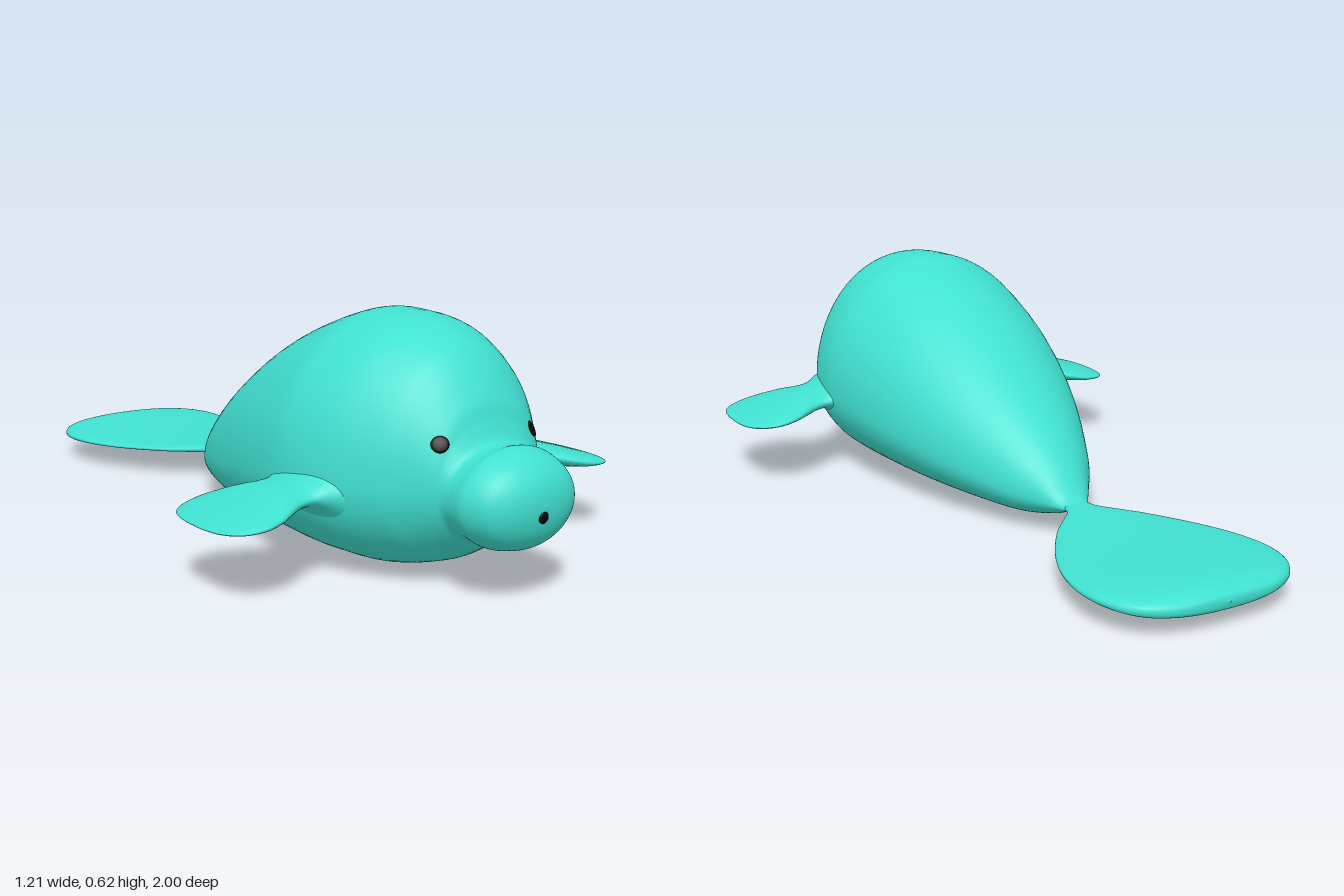
import * as THREE from 'three';

const skin = new THREE.MeshStandardMaterial({ color: 0x40e0d0 });
skin.name = 'turquoise skin';
const black = new THREE.MeshStandardMaterial({ color: 0x050505 });
black.name = 'black';

// Smooth loft through rows of [station, halfWidth, top, bottom].
// place(station, across, height) turns a section point into x, y, z.
function loft(rows, place, { steps = 90, sides = 56, power = 1, waist = () => 0.5 } = {}) {
  const curve = (k) => new THREE.CatmullRomCurve3(
    rows.map((r) => new THREE.Vector3(r[0], k === 0 ? r[1] : r[3], r[2])), false, 'catmullrom', 0.5);
  const upper = curve(0), lower = curve(1);
  const positions = [], index = [];
  for (let i = 0; i <= steps; i++) {
    const p = upper.getPoint(i / steps), q = lower.getPoint(i / steps);
    const top = p.z, bottom = q.y, half = Math.max(p.y, 0.0005);
    const mid = bottom + (top - bottom) * waist(p.x);
    for (let j = 0; j < sides; j++) {
      const a = (j / sides) * Math.PI * 2, s = Math.sin(a);
      const v = Math.sign(s) * Math.abs(s) ** power;
      const y = mid + v * (v > 0 ? top - mid : mid - bottom);
      positions.push(...place(p.x, half * Math.cos(a), y));
    }
  }
  for (let i = 0; i < steps; i++) {
    for (let j = 0; j < sides; j++) {
      const k = (j + 1) % sides;
      const a = i * sides + j, b = i * sides + k, c = a + sides, d = b + sides;
      index.push(a, c, b, b, c, d);
    }
  }
  const g = new THREE.BufferGeometry();
  g.setAttribute('position', new THREE.Float32BufferAttribute(positions, 3));
  g.setIndex(index);
  g.computeVertexNormals();
  return g;
}

function add(parent, name, geometry, material) {
  const mesh = new THREE.Mesh(geometry, material);
  mesh.name = name;
  parent.add(mesh);
  return mesh;
}

// Small flattened spot lying on the skin, facing along a direction
function addSpot(parent, name, position, direction, rx, ry) {
  const spot = add(parent, name, new THREE.SphereGeometry(1, 16, 10), black);
  spot.position.set(...position);
  spot.lookAt(new THREE.Vector3(...position).add(new THREE.Vector3(...direction)));
  spot.scale.set(rx, ry, 0.005);
}

export function createModel() {
  const model = new THREE.Group();
  model.name = 'seaCow';
  const alongZ = (s, across, y) => [across, y, s];

  // Body with snout, from the nose back to the tail root
  const body = [
    [1.0, 0, 0.24, 0.24], [0.995, 0.05, 0.275, 0.203], [0.98, 0.097, 0.308, 0.165],
    [0.95, 0.136, 0.338, 0.133], [0.9, 0.157, 0.356, 0.117], [0.865, 0.154, 0.351, 0.12],
    [0.84, 0.15, 0.36, 0.12], [0.82, 0.153, 0.4, 0.113], [0.8, 0.17, 0.45, 0.098],
    [0.75, 0.212, 0.522, 0.066], [0.7, 0.252, 0.565, 0.04], [0.6, 0.308, 0.607, 0.01],
    [0.5, 0.335, 0.617, 0.003], [0.4, 0.337, 0.608, 0.001], [0.2, 0.303, 0.53, 0.005],
    [0, 0.243, 0.41, 0.014], [-0.2, 0.15, 0.267, 0.026], [-0.3, 0.085, 0.178, 0.048],
    [-0.35, 0.05, 0.118, 0.068], [-0.38, 0.032, 0.1, 0.076], [-0.4, 0, 0.09, 0.085],
  ];
  const waist = (z) => 0.5 - 0.11 * (1 - THREE.MathUtils.smoothstep(z, 0.72, 0.88));
  add(model, 'body', loft(body, alongZ, { steps: 160, sides: 72, waist }), skin);

  // Paddle tail
  const tail = [
    [-0.35, 0.01, 0.096, 0.085], [-0.37, 0.034, 0.1, 0.076], [-0.4, 0.045, 0.098, 0.074],
    [-0.45, 0.095, 0.095, 0.07], [-0.5, 0.14, 0.093, 0.067], [-0.6, 0.206, 0.091, 0.062],
    [-0.7, 0.251, 0.092, 0.057], [-0.8, 0.269, 0.096, 0.05], [-0.88, 0.257, 0.1, 0.042],
    [-0.94, 0.221, 0.099, 0.037], [-0.975, 0.17, 0.092, 0.04], [-0.994, 0.105, 0.082, 0.048],
    [-1.0, 0, 0.068, 0.064],
  ];
  add(model, 'tail', loft(tail, alongZ, { power: 0.75 }), skin);

  // Flippers, each with a flared root that melts into the flank
  const flipper = [
    [0.27, 0.14, 0.3, 0.13], [0.315, 0.115, 0.272, 0.168], [0.345, 0.1, 0.25, 0.186],
    [0.38, 0.101, 0.243, 0.184], [0.42, 0.122, 0.237, 0.177], [0.46, 0.143, 0.226, 0.172],
    [0.51, 0.153, 0.212, 0.169], [0.56, 0.138, 0.197, 0.171], [0.59, 0.104, 0.188, 0.175],
    [0.602, 0.06, 0.184, 0.177], [0.606, 0, 0.181, 0.18],
  ];
  const flipperShape = loft(flipper, (s, across, y) => [s, y, across], { steps: 60, sides: 40 });
  for (const [name, turn] of [['leftFlipper', 0], ['rightFlipper', Math.PI]]) {
    const mesh = add(model, name, flipperShape, skin);
    mesh.position.z = 0.512;
    mesh.rotation.y = turn;
  }

  // Eyes and nose spot
  addSpot(model, 'leftEye', [0.14, 0.36, 0.803], [0.6, 0.45, 0.75], 0.021, 0.02);
  addSpot(model, 'rightEye', [-0.14, 0.36, 0.803], [-0.6, 0.45, 0.75], 0.021, 0.02);
  addSpot(model, 'nose', [-0.005, 0.216, 0.997], [0, -0.1, 1], 0.014, 0.014);

  return model;
}
